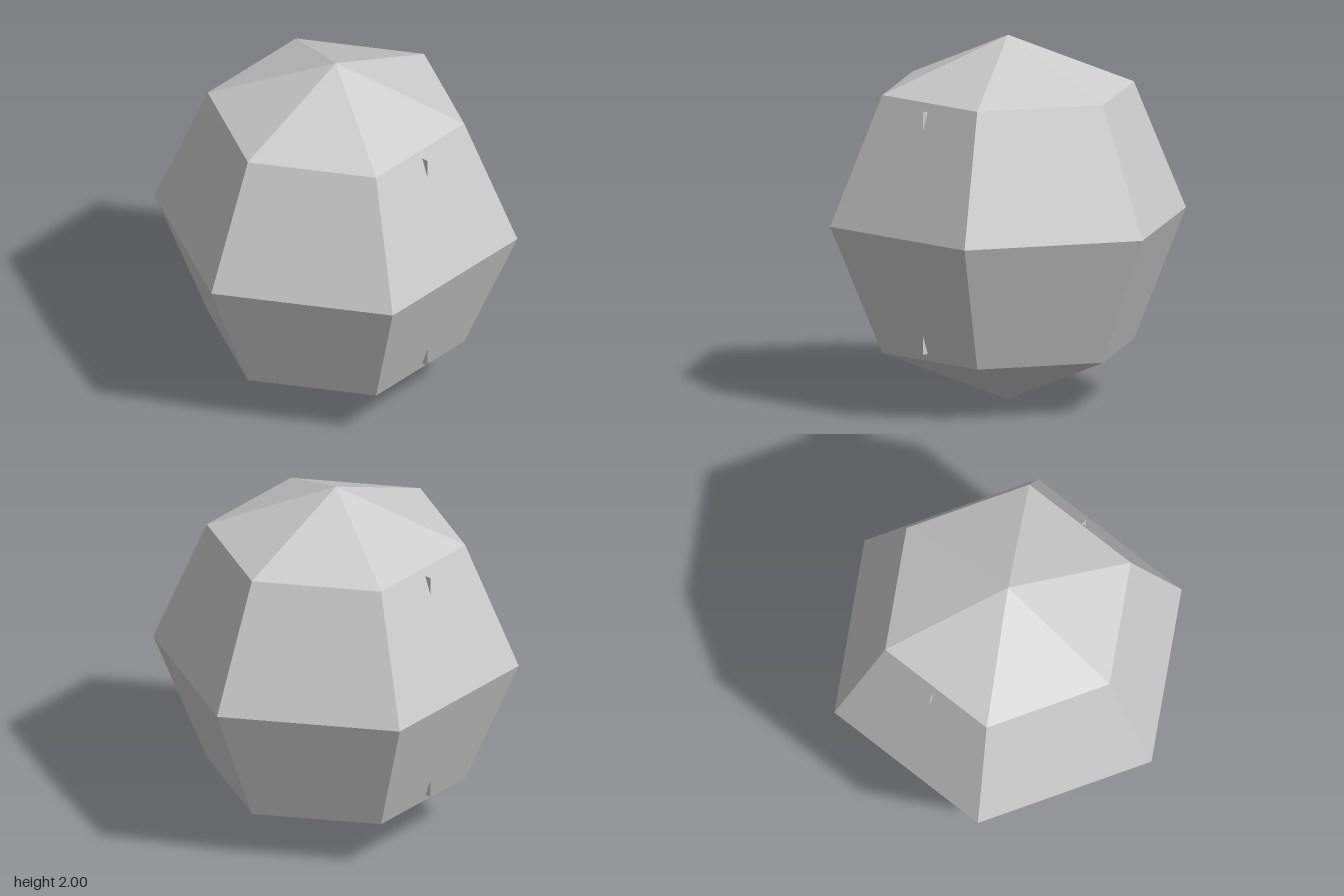
import * as THREE from 'three';

export function createModel() {
  const model = new THREE.Group();
  model.name = 'facetedBall';

  const grey = new THREE.MeshStandardMaterial({ color: 0xcccccc, flatShading: true, side: THREE.DoubleSide });
  grey.name = 'light grey';

  // Six-sided faceted ball with corners pointing to the front and back
  const ball = new THREE.Mesh(new THREE.SphereGeometry(1, 6, 4).rotateY(Math.PI / 2), grey);
  ball.name = 'ball';
  ball.position.y = 1;
  model.add(ball);

  // Upright square sheet through the middle, its corners just piercing the sides
  const sheet = new THREE.Mesh(new THREE.PlaneGeometry(1.33, 1.33), grey);
  sheet.name = 'innerSheet';
  sheet.position.y = 1;
  model.add(sheet);

  return model;
}
